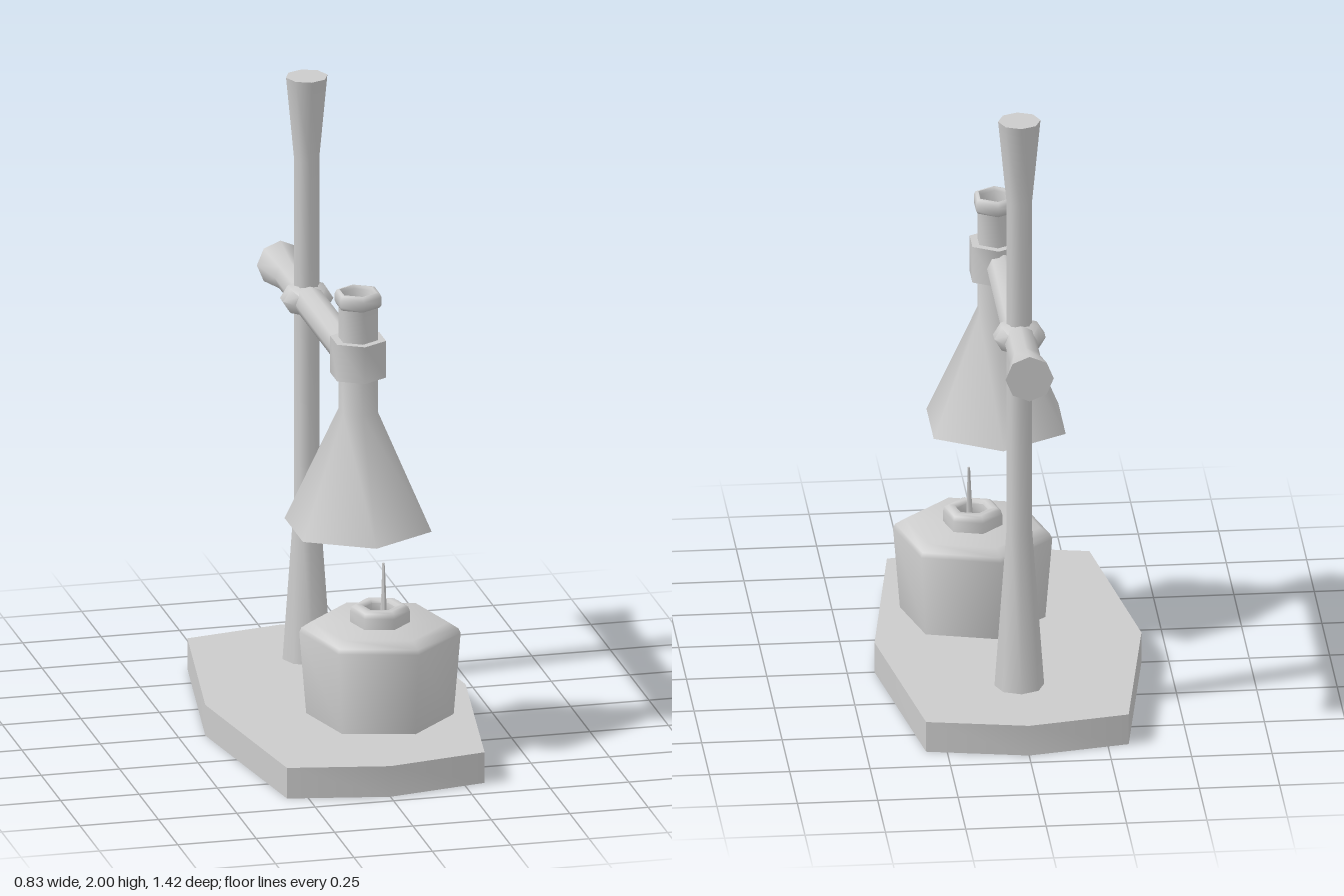
import * as THREE from 'three';
import { toCreasedNormals } from 'three/addons/utils/BufferGeometryUtils.js';

const material = new THREE.MeshStandardMaterial({ color: 0xcccccc });

function part(name, geometry, x = 0, y = 0, z = 0) {
  const mesh = new THREE.Mesh(toCreasedNormals(geometry, 1.13), material);
  mesh.name = name;
  mesh.position.set(x, y, z);
  return mesh;
}

// profile: [radius, height] pairs, from the bottom up
function turned(profile, sides, phase = 0) {
  return new THREE.LatheGeometry(profile.map(([r, y]) => new THREE.Vector2(r, y)), sides, phase);
}

export function createModel() {
  const model = new THREE.Group();
  const postZ = -0.37, armY = 1.275;

  // Eight-cornered base slab
  const outline = [[0, -0.71], [0.315, -0.65], [0.415, 0], [0.315, 0.635],
    [0, 0.695], [-0.315, 0.635], [-0.415, 0], [-0.315, -0.65]];
  const slab = new THREE.ExtrudeGeometry(
    new THREE.Shape(outline.map(([x, y]) => new THREE.Vector2(x, y))),
    { depth: 0.1, bevelEnabled: false });
  slab.rotateX(-Math.PI / 2);
  model.add(part('base', slab));

  // Upright post, flared at both ends
  model.add(part('post', turned([[0, 0.09], [0.078, 0.09], [0.04, 0.62], [0.04, 1.73],
    [0.066, 2], [0, 2]], 8), 0, 0, postZ));

  // Horizontal arm with a flared grip at the back
  const arm = turned([[0, -0.17], [0.05, -0.17], [0.05, 0.58], [0.075, 0.71], [0, 0.71]], 8);
  arm.rotateX(-Math.PI / 2);
  model.add(part('arm', arm, 0, armY, 0));

  // Joint where arm and post cross
  const joint = turned([[0, -0.06], [0.055, -0.06], [0.08, -0.02], [0.08, 0.02],
    [0.055, 0.06], [0, 0.06]], 8);
  joint.rotateX(-Math.PI / 2);
  joint.scale(1, 0.68, 1);
  model.add(part('joint', joint, 0, armY, postZ));

  // Six-sided flask with an open mouth, held by a clamp ring
  const flask = new THREE.Group();
  flask.name = 'flask';
  flask.position.set(0.015, 0, 0.232);
  flask.add(part('flaskBody', turned([[0, 0.73], [0.237, 0.73], [0.064, 1.105], [0.064, 1.45]], 6)));
  flask.add(part('flaskLip', turned([[0.064, 1.445], [0.071, 1.448], [0.076, 1.458], [0.076, 1.48],
    [0.07, 1.493], [0.06, 1.495], [0.053, 1.485], [0.053, 1.39], [0, 1.39]], 6)));
  flask.add(part('clampRing', turned([[0.06, 1.22], [0.09, 1.22], [0.09, 1.34], [0.06, 1.34]], 6)));
  model.add(flask);

  // Six-sided spirit burner
  const burner = new THREE.Group();
  burner.name = 'burner';
  burner.position.set(0.09, 0, 0.21);
  const twist = Math.PI / 12;
  burner.add(part('burnerBody', turned([[0, 0.095], [0.228, 0.095], [0.25, 0.365], [0.243, 0.38],
    [0.212, 0.4], [0, 0.4]], 6, twist)));
  burner.add(part('burnerCap', turned([[0.093, 0.395], [0.093, 0.435], [0.088, 0.45], [0.076, 0.456],
    [0.058, 0.456], [0.05, 0.447], [0.05, 0.415], [0, 0.415]], 6, twist)));

  // Wick: thin taper, bent towards its tip
  const wick = new THREE.CylinderGeometry(0.004, 0.011, 0.18, 6, 5);
  const pos = wick.attributes.position;
  for (let i = 0; i < pos.count; i++) {
    const t = pos.getY(i) / 0.18 + 0.5;
    pos.setX(i, pos.getX(i) + 0.004 * t);
    pos.setZ(i, pos.getZ(i) - 0.016 * t * t);
  }
  burner.add(part('wick', wick, 0.008, 0.5, 0.012));
  model.add(burner);

  return model;
}
